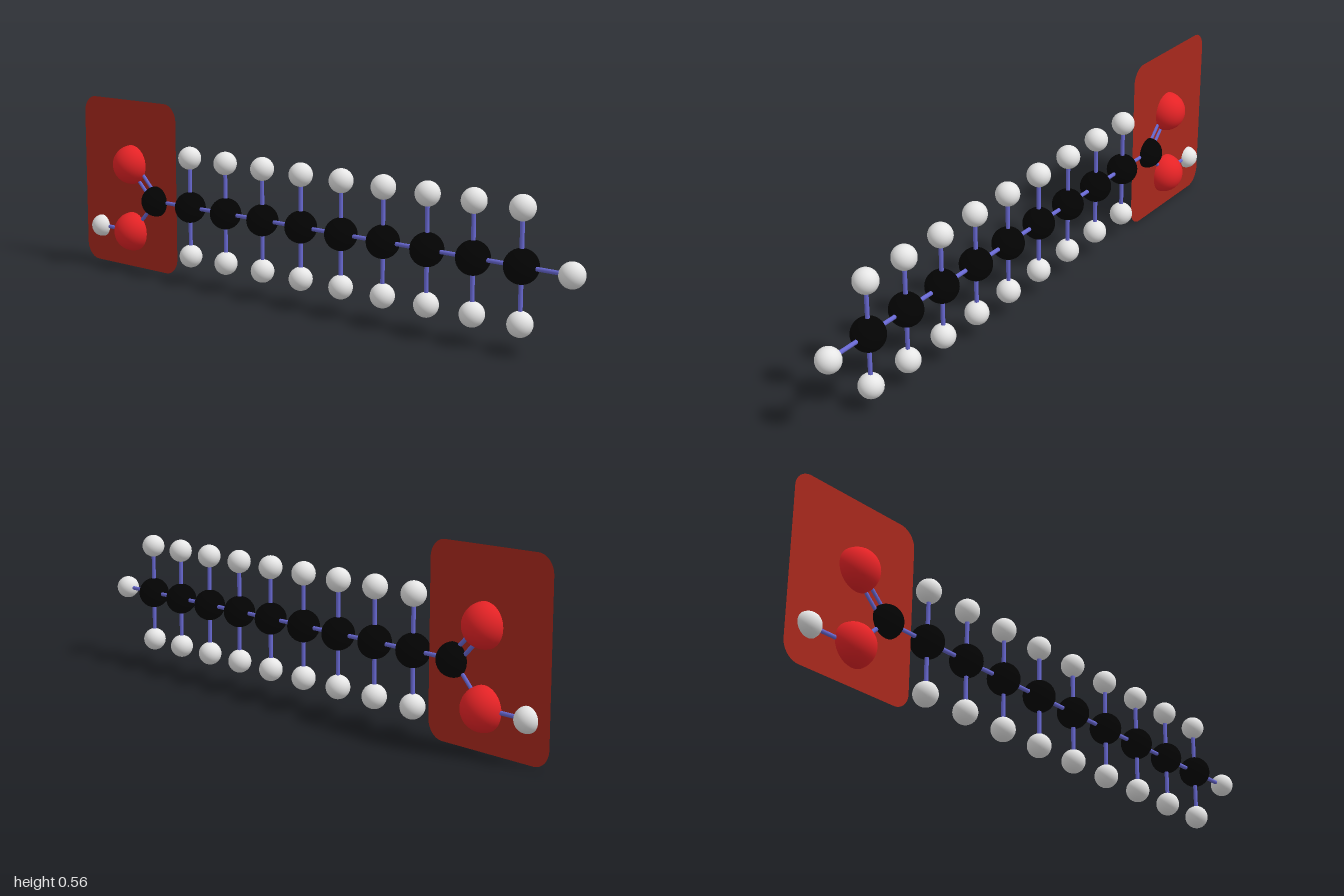
import * as THREE from 'three';

const material = (name, color, side = THREE.FrontSide) => {
  const m = new THREE.MeshStandardMaterial({ color, side });
  m.name = name;
  return m;
};

export function createModel() {
  const model = new THREE.Group();
  model.name = 'moleculeChain';

  const black = material('carbon black', 0x030303);
  const red = material('oxygen red', 0xe62326);
  const white = material('hydrogen white', 0xe6e6e6);
  const blue = material('bond blue', 0x6868d2);
  const brick = material('panel brick red', 0xa8281c, THREE.DoubleSide);

  const kinds = {
    carbon: [new THREE.SphereGeometry(0.05, 32, 20), black],
    oxygen: [new THREE.SphereGeometry(0.065, 32, 20), red],
    hydrogen: [new THREE.SphereGeometry(0.037, 32, 20), white],
  };

  const add = (name, geometry, mat, x = 0, y = 0) => {
    const mesh = new THREE.Mesh(geometry, mat);
    mesh.name = name;
    mesh.position.set(x, y, 0);
    model.add(mesh);
    return mesh;
  };
  const atom = (kind, [x, y]) => add(kind + 'Atom', ...kinds[kind], x, y);

  // Thin rod joining two atoms, optionally shifted sideways in the plane
  const bond = ([ax, ay], [bx, by], shift = 0) => {
    const dx = bx - ax, dy = by - ay, length = Math.hypot(dx, dy);
    const rod = add('bond', new THREE.CylinderGeometry(0.0065, 0.0065, length, 12), blue,
      (ax + bx) / 2 - (dy / length) * shift, (ay + by) / 2 + (dx / length) * shift);
    rod.rotation.z = Math.atan2(dy, dx) - Math.PI / 2;
  };

  // Carbon chain with a hydrogen above and below each link
  const midY = 0.237, step = 0.161, startX = -0.487, links = 9;
  const acidCarbon = [-0.648, midY];
  let previous = acidCarbon;
  for (let i = 0; i < links; i++) {
    const carbon = [startX + i * step, midY];
    atom('carbon', carbon);
    bond(previous, carbon);
    for (const side of [-1, 1]) {
      const hydrogen = [carbon[0], midY + side * step];
      atom('hydrogen', hydrogen);
      bond(carbon, hydrogen);
    }
    previous = carbon;
  }
  const endHydrogen = [startX + links * step, midY];
  atom('hydrogen', endHydrogen);
  bond(previous, endHydrogen);

  // Acid group: double-bonded oxygen above, oxygen and hydrogen below
  const upperOxygen = [-0.764, 0.348], lowerOxygen = [-0.764, 0.121], acidHydrogen = [-0.922, 0.121];
  atom('carbon', acidCarbon);
  atom('oxygen', upperOxygen);
  atom('oxygen', lowerOxygen);
  atom('hydrogen', acidHydrogen);
  bond(acidCarbon, upperOxygen, 0.015);
  bond(acidCarbon, upperOxygen, -0.015);
  bond(acidCarbon, lowerOxygen);
  bond(lowerOxygen, acidHydrogen);

  // Flat rounded panel through the acid group
  const l = -1, r = -0.552, b = 0, t = 0.563, c = 0.055;
  const outline = new THREE.Shape();
  outline.absarc(r - c, t - c, c, 0, Math.PI / 2);
  outline.absarc(l + c, t - c, c, Math.PI / 2, Math.PI);
  outline.absarc(l + c, b + c, c, Math.PI, Math.PI * 1.5);
  outline.absarc(r - c, b + c, c, Math.PI * 1.5, Math.PI * 2);
  add('acidGroupPanel', new THREE.ShapeGeometry(outline, 8), brick);

  return model;
}
